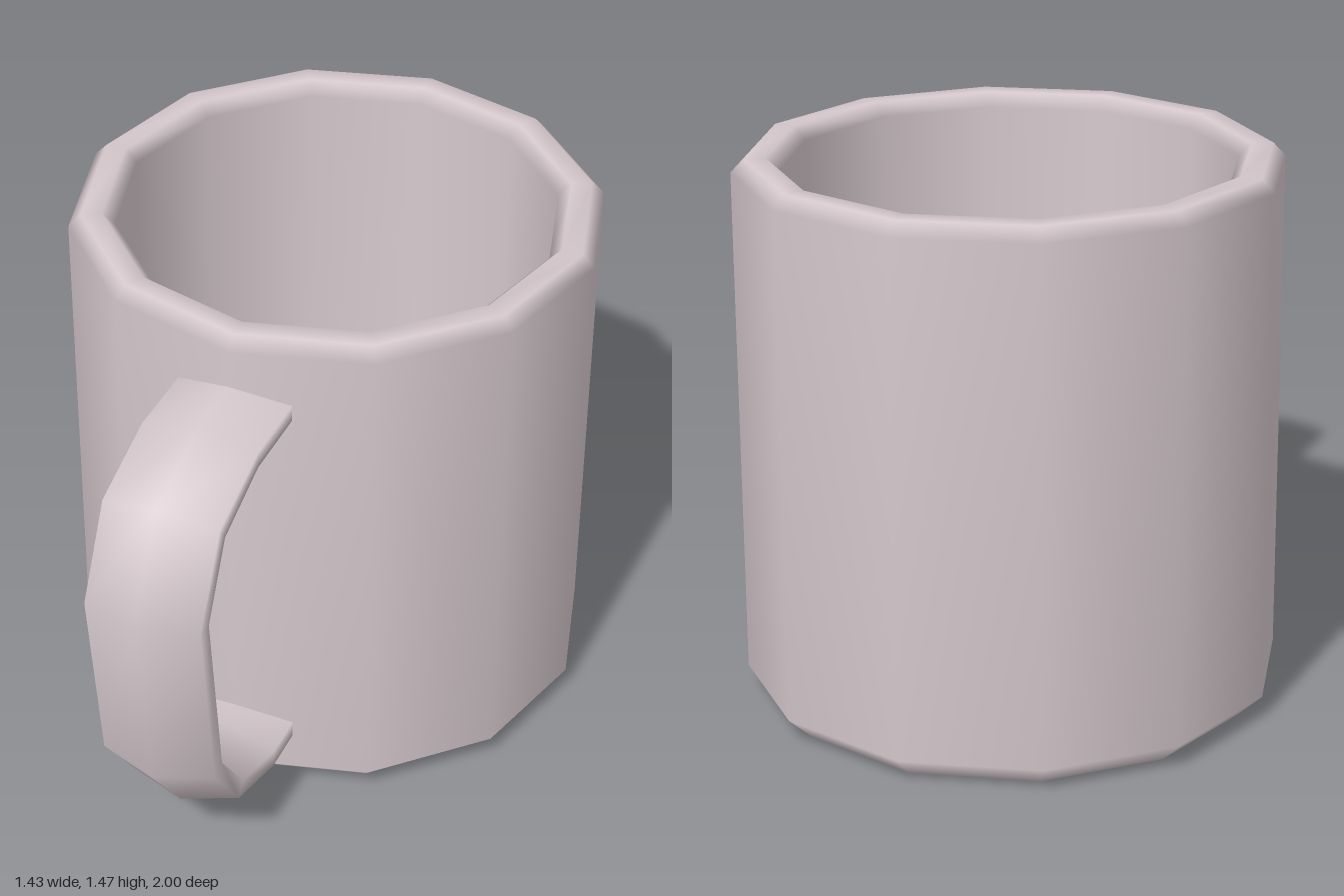
import * as THREE from 'three';

const ceramic = new THREE.MeshStandardMaterial({ color: 0xd5c8cc });
ceramic.name = 'pale ceramic';

// Twelve-sided cup: base, chamfers, wall, rim and hollow interior in one profile
function makeCup() {
  const profile = [
    [0, 0], [0.62, 0], [0.65, 0.003], [0.715, 0.065], [0.715, 1.435],
    [0.682, 1.47], [0.625, 1.47], [0.592, 1.435], [0.592, 0.16],
    [0.54, 0.1], [0.5, 0.1], [0, 0.1],
  ].map(([r, y]) => new THREE.Vector2(r, y));
  const cup = new THREE.Mesh(new THREE.LatheGeometry(profile, 12), ceramic);
  cup.name = 'cup';
  cup.position.z = -0.285;
  return cup;
}

// Handle: hexagonal sections strung between an outer and an inner curve (z, y)
function makeHandle() {
  const outer = [[0.36, 1.33], [0.6, 1.33], [0.86, 1.25], [1, 0.98],
    [0.93, 0.43], [0.77, 0.215], [0.52, 0.13], [0.36, 0.13]];
  const inner = [[0.36, 1.2], [0.6, 1.2], [0.77, 1.13], [0.855, 0.965],
    [0.8, 0.48], [0.69, 0.33], [0.51, 0.27], [0.36, 0.27]];
  const w = 0.157;
  // x offset and blend from outer to inner curve
  const section = [[0, 0], [w, 0.33], [w, 0.67], [0, 1], [-w, 0.67], [-w, 0.33]];
  const n = section.length;
  const positions = [], index = [];
  outer.forEach(([oz, oy], i) => {
    const [iz, iy] = inner[i];
    for (const [x, t] of section) {
      positions.push(x, oy + (iy - oy) * t, oz + (iz - oz) * t);
    }
    if (i === 0) return;
    for (let j = 0; j < n; j++) {
      const a = (i - 1) * n + j, b = (i - 1) * n + (j + 1) % n;
      const c = a + n, d = b + n;
      index.push(a, c, b, b, c, d);
    }
  });
  const geometry = new THREE.BufferGeometry();
  geometry.setAttribute('position', new THREE.Float32BufferAttribute(positions, 3));
  geometry.setIndex(index);
  geometry.computeVertexNormals();
  const handle = new THREE.Mesh(geometry, ceramic);
  handle.name = 'handle';
  return handle;
}

export function createModel() {
  const mug = new THREE.Group();
  mug.name = 'mug';
  mug.add(makeCup(), makeHandle());
  return mug;
}
